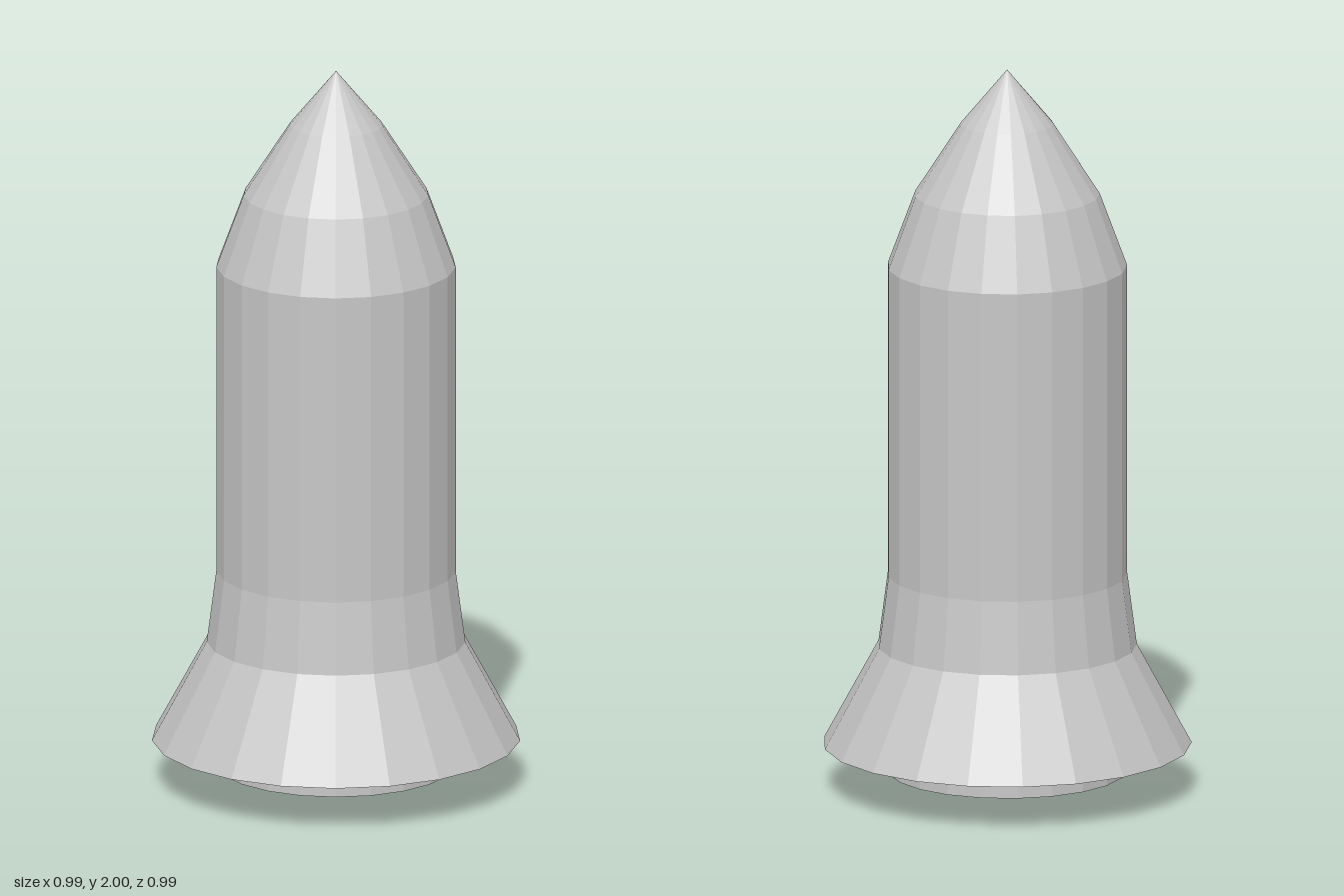
import * as THREE from 'three';

const SIDES = 21;

export function createModel() {
  const group = new THREE.Group();
  const grey = new THREE.MeshStandardMaterial({ color: 0xc6c6c6, flatShading: true });
  grey.name = 'hull grey';
  const greyOpen = new THREE.MeshStandardMaterial({ color: 0xc6c6c6, flatShading: true, side: THREE.DoubleSide });
  greyOpen.name = 'skirt grey';

  // Turns a bottom-to-top profile of [radius, height], with one corner on +x
  function turned(name, profile, material) {
    const points = profile.map(([r, y]) => new THREE.Vector2(r, y));
    const mesh = new THREE.Mesh(new THREE.LatheGeometry(points, SIDES, Math.PI / 2), material);
    mesh.name = name;
    mesh.position.x = -0.003; // an odd number of sides sits slightly off centre
    group.add(mesh);
  }

  // Shallow pointed underside
  turned('base', [[0, 0], [0.324, 0.053]], grey);
  // Straight tube, running down inside the skirt
  turned('body', [[0.324, 0.053], [0.324, 0.6], [0.324, 1.455]], grey);
  // Rounded pointed nose
  turned('nose', [[0.324, 1.455], [0.25, 1.655], [0.125, 1.85], [0, 2]], grey);
  // Flared skirt, open underneath
  turned('skirt', [[0.498, 0.128], [0.35, 0.402], [0.324, 0.6]], greyOpen);

  return group;
}
